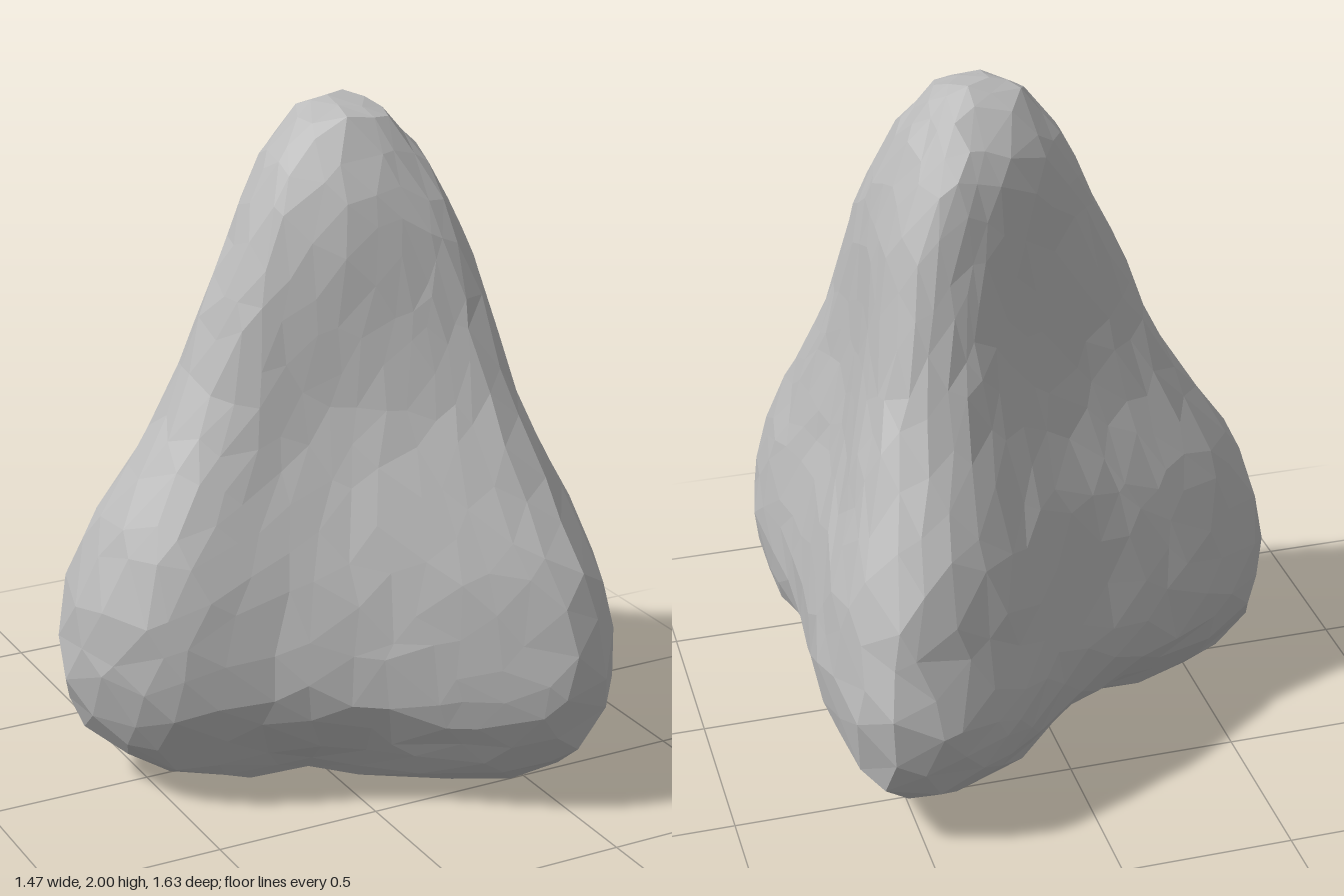
import * as THREE from 'three';
import { mergeVertices } from 'three/addons/utils/BufferGeometryUtils.js';

// Plan outline at the widest level: a rounded triangle, [x, z]
const OUTLINE = [
  [-0.72, -0.03], [-0.715, -0.11], [-0.65, -0.22], [-0.3, -0.39], [-0.06, -0.5], [0.1, -0.62],
  [0.25, -0.74], [0.45, -0.82], [0.56, -0.81], [0.65, -0.73], [0.7, -0.52], [0.71, -0.28],
  [0.69, 0], [0.7, 0.2], [0.72, 0.48], [0.67, 0.7], [0.6, 0.79], [0.48, 0.82], [0.28, 0.73],
  [0, 0.55], [-0.3, 0.39], [-0.5, 0.32], [-0.62, 0.23], [-0.7, 0.08],
];

// Cross-sections from bottom to top:
// y, xMin, xMax, zMin, zMax, roundness, pinch between the corners
const LEVELS = [
  [0.025, 0.15, 0.15, 0.02, 0.02, 0, 0],
  [0.01, -0.08, 0.34, -0.22, 0.24, 0.2, 0.15],
  [0.02, -0.31, 0.42, -0.42, 0.43, 0.1, 0.25],
  [0.05, -0.51, 0.53, -0.58, 0.6, 0, 0.28],
  [0.12, -0.61, 0.66, -0.69, 0.69, 0, 0.18],
  [0.21, -0.68, 0.71, -0.77, 0.76, 0, 0.07],
  [0.32, -0.73, 0.72, -0.81, 0.81, 0, 0],
  [0.44, -0.73, 0.73, -0.82, 0.82, 0, 0],
  [0.58, -0.725, 0.72, -0.765, 0.785, 0, 0.02],
  [0.72, -0.67, 0.7, -0.74, 0.75, 0, 0.04],
  [0.86, -0.6, 0.66, -0.67, 0.67, 0.05, 0.07],
  [1.0, -0.5, 0.62, -0.58, 0.59, 0.1, 0.09],
  [1.14, -0.41, 0.58, -0.5, 0.51, 0.2, 0.1],
  [1.29, -0.34, 0.54, -0.43, 0.45, 0.3, 0.09],
  [1.44, -0.28, 0.51, -0.38, 0.4, 0.4, 0.06],
  [1.6, -0.21, 0.47, -0.335, 0.355, 0.5, 0.03],
  [1.74, -0.145, 0.41, -0.3, 0.3, 0.6, 0],
  [1.86, -0.08, 0.34, -0.25, 0.23, 0.7, 0],
  [1.95, -0.01, 0.27, -0.17, 0.17, 0.8, 0],
  [1.99, 0.05, 0.2, -0.08, 0.08, 1, 0],
  [2.0, 0.12, 0.12, 0, 0, 1, 0],
];

function seeded(seed) {
  return () => {
    seed = (seed * 16807) % 2147483647;
    return seed / 2147483647 - 0.5;
  };
}

const plan = new THREE.CatmullRomCurve3(
  OUTLINE.map(([x, z]) => new THREE.Vector3(x / 0.72, 0, z / 0.82)), true);

// Maps a direction on the unit sphere to the surface of the rock
function surfacePoint(dir) {
  const t = (1 - Math.acos(THREE.MathUtils.clamp(dir.y, -1, 1)) / Math.PI) * (LEVELS.length - 1);
  const k = Math.min(Math.floor(t), LEVELS.length - 2);
  const [y, x0, x1, z0, z1, round, pinch] =
    LEVELS[k].map((v, i) => THREE.MathUtils.lerp(v, LEVELS[k + 1][i], t - k));

  const turn = Math.atan2(-dir.z, -dir.x) / (2 * Math.PI);
  const p = plan.getPointAt((turn + 1) % 1);
  const a = Math.atan2(p.z, p.x);
  const s = 1 - pinch * (0.5 + 0.5 * Math.cos(3 * a));
  const u = THREE.MathUtils.lerp(p.x, Math.cos(a), round) * s;
  const v = THREE.MathUtils.lerp(p.z, Math.sin(a), round) * s;
  return new THREE.Vector3(
    (x0 + x1) / 2 + (u * (x1 - x0)) / 2, y, (z0 + z1) / 2 + (v * (z1 - z0)) / 2);
}

// An evenly faceted ball, wrapped onto the cross-sections and roughened
function rockGeometry() {
  const rand = seeded(4242);
  const ball = new THREE.IcosahedronGeometry(1, 7);
  ball.deleteAttribute('normal');
  ball.deleteAttribute('uv');
  const geometry = mergeVertices(ball);
  const pos = geometry.attributes.position;
  const dir = new THREE.Vector3();
  for (let i = 0; i < pos.count; i++) {
    dir.fromBufferAttribute(pos, i);
    dir.x += rand() * 0.08;
    dir.y += rand() * 0.08;
    dir.z += rand() * 0.08;
    const p = surfacePoint(dir.normalize());
    const s = 1 + rand() * 0.014;
    pos.setXYZ(i, p.x * s, THREE.MathUtils.clamp(p.y + rand() * 0.02, 0, 2), p.z * s);
  }
  const faceted = geometry.toNonIndexed();
  faceted.computeVertexNormals();
  return faceted;
}

export function createModel() {
  const group = new THREE.Group();
  group.name = 'rock';
  const stone = new THREE.MeshStandardMaterial({ color: 0xbababa });
  stone.name = 'grey stone';
  stone.flatShading = true;
  const boulder = new THREE.Mesh(rockGeometry(), stone);
  boulder.name = 'boulder';
  group.add(boulder);
  return group;
}
